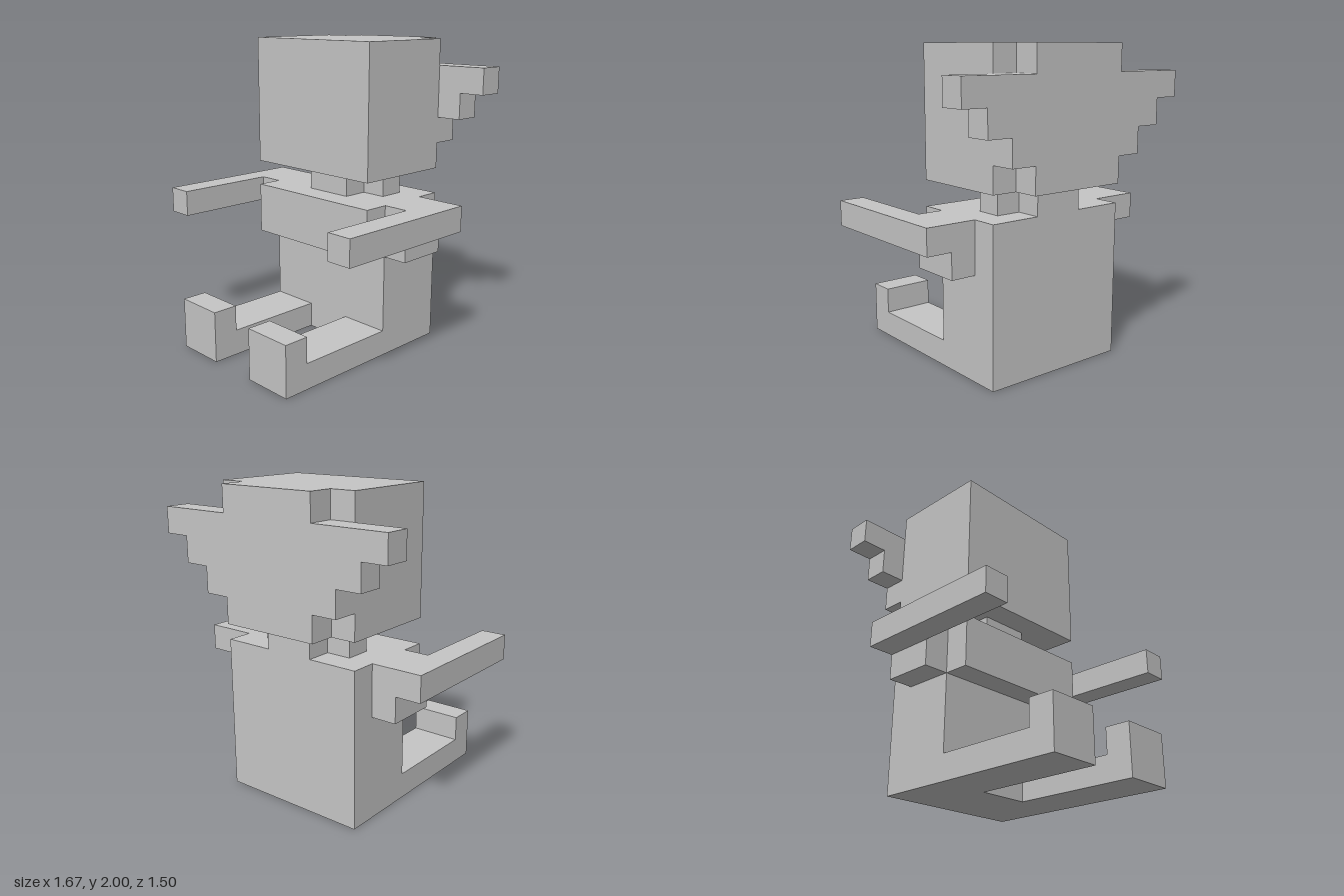
import * as THREE from 'three';

const U = 1 / 6; // one block
const grey = new THREE.MeshStandardMaterial({ color: 0xc5c5c5 });
grey.name = 'lightGrey';

export function createModel() {
  const model = new THREE.Group();
  model.name = 'blockFigure';

  function add(name, geometry) {
    geometry.scale(U, U, U);
    const mesh = new THREE.Mesh(geometry, grey);
    mesh.name = name;
    model.add(mesh);
  }

  // Box given by its lower and upper corners, in blocks
  function box(name, [x0, y0, z0], [x1, y1, z1]) {
    const g = new THREE.BoxGeometry(x1 - x0, y1 - y0, z1 - z0);
    add(name, g.translate((x0 + x1) / 2, (y0 + y1) / 2, (z0 + z1) / 2));
  }

  function extrude(points, depth) {
    const shape = new THREE.Shape(points.map(([x, y]) => new THREE.Vector2(x, y)));
    return new THREE.ExtrudeGeometry(shape, { depth, bevelEnabled: false });
  }

  // Torso and the chest standing out in front of it
  box('torso', [-3, 0, -3.5], [3, 6, -0.5]);
  box('chest', [-3, 4, -0.5], [3, 6, 0.5]);

  // Cross-shaped neck
  const cross = [[1, 0.5], [1, 1.5], [2, 1.5], [2, 2.5], [1, 2.5], [1, 3.5],
    [-1, 3.5], [-1, 2.5], [-2, 2.5], [-2, 1.5], [-1, 1.5], [-1, 0.5]];
  add('neck', extrude(cross, 1).rotateX(-Math.PI / 2).translate(0, 6, 0));

  // Head with a stepped plate at the back that forms the ears
  box('head', [-3, 7, -3.5], [3, 12, 0.5]);
  const half = [[2, 7], [2, 8], [3, 8], [3, 9], [4, 9], [4, 10], [5, 10], [5, 11], [2, 11], [2, 12]];
  const plate = [...half, ...half.map(([x, y]) => [-x, y]).reverse()];
  add('earPlate', extrude(plate, 1).translate(0, 0, -4.5));

  for (const [side, s] of [['left', 1], ['right', -1]]) {
    // Forward-reaching arm, with a block under the shoulder
    const arm = [[3, -2.5], [5, -2.5], [5, 3.5], [4, 3.5], [4, -0.5], [3, -0.5]];
    add(side + 'Arm', extrude(arm.map(([x, z]) => [s * x, z]), 1).rotateX(Math.PI / 2).translate(0, 6, 0));
    box(side + 'Shoulder', [s > 0 ? 3 : -4, 4, -2.5], [s > 0 ? 4 : -3, 5, -0.5]);

    // Outstretched leg with an upright foot
    const leg = [[-0.5, 0], [4.5, 0], [4.5, 2], [3.5, 2], [3.5, 1], [-0.5, 1]];
    add(side + 'Leg', extrude(leg, 2).rotateY(-Math.PI / 2).translate(s > 0 ? 3 : -1, 0, 0));
  }

  return model;
}
